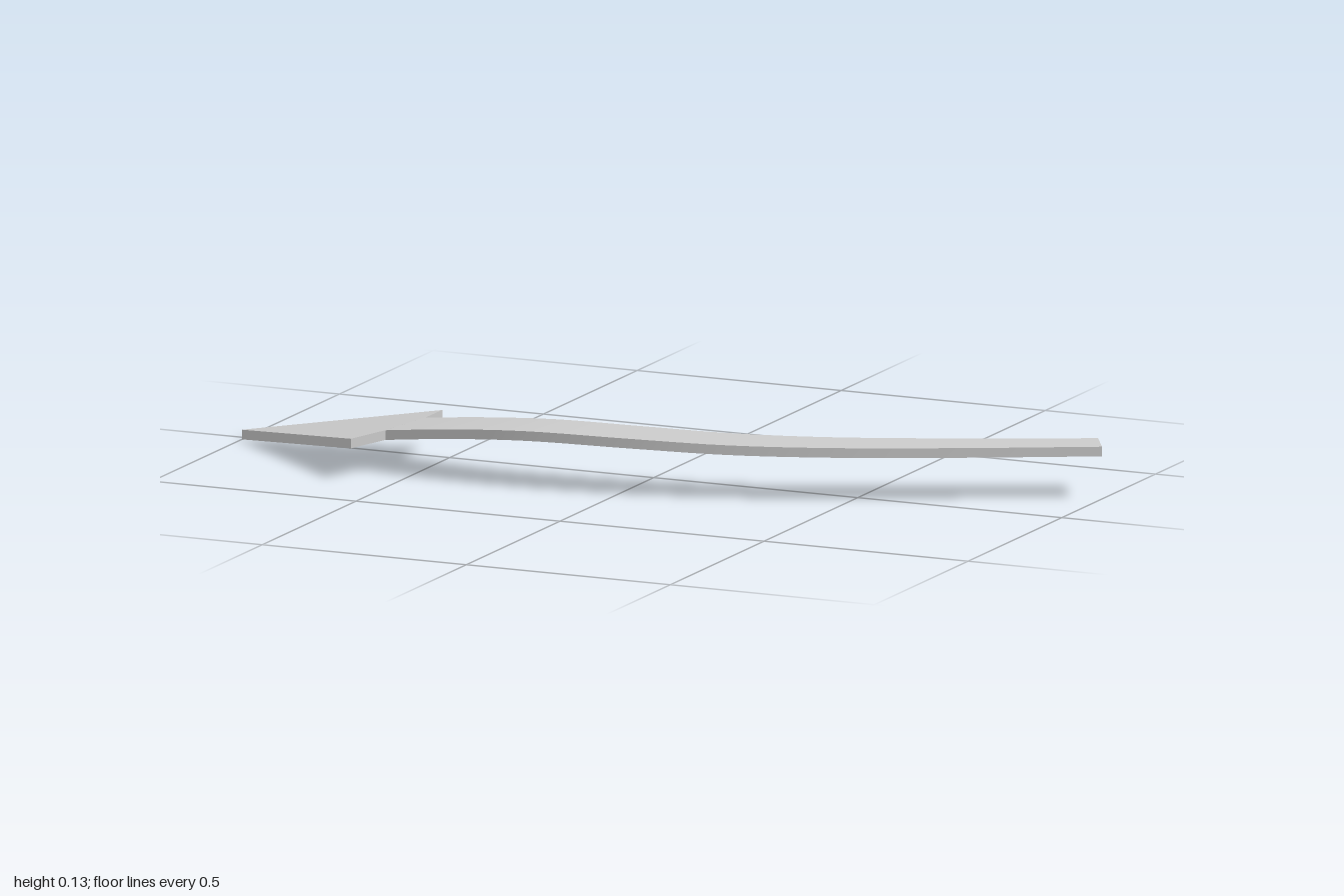
import * as THREE from 'three';

const THICKNESS = 0.022;

// Stations along the shaft: back edge x, z, front edge x, z, underside height
const STATIONS = [
  [-0.545, 0.033, -0.57, 0.19, 0.0717],
  [-0.39, 0.06, -0.41, 0.208, 0.092],
  [-0.21, 0.07, -0.22, 0.212, 0.106],
  [0, 0.055, 0.03, 0.187, 0.106],
  [0.2, 0.018, 0.24, 0.138, 0.101],
  [0.4, -0.04, 0.45, 0.063, 0.099],
  [0.66, -0.149, 0.71, -0.06, 0.098],
  [0.955, -0.292, 1, -0.215, 0.097],
];

// Tip, front barb, front notch, back notch, back barb as x, z
const HEAD = [[-1, 0.02], [-0.61, 0.288], [-0.57, 0.19], [-0.545, 0.033], [-0.55, -0.07]];

// A segmented box bent so that its long edges follow the two edge curves
function shaftGeometry() {
  const back = new THREE.CatmullRomCurve3(STATIONS.map(s => new THREE.Vector3(s[0], s[4], s[1])));
  const front = new THREE.CatmullRomCurve3(STATIONS.map(s => new THREE.Vector3(s[2], s[4], s[3])));
  const geometry = new THREE.BoxGeometry(1, 1, 1, 35, 1, 1);
  const pos = geometry.attributes.position;
  for (let i = 0; i < pos.count; i++) {
    const edge = pos.getZ(i) < 0 ? back : front;
    const p = edge.getPoint(THREE.MathUtils.clamp(pos.getX(i) + 0.5, 0, 1));
    pos.setXYZ(i, p.x, p.y + (pos.getY(i) > 0 ? THICKNESS : 0), p.z);
  }
  geometry.computeVertexNormals();
  return geometry;
}

// A flat barbed plate that slopes down towards its tip
function headGeometry() {
  const shape = new THREE.Shape(HEAD.map(([x, z]) => new THREE.Vector2(x, -z)));
  const geometry = new THREE.ExtrudeGeometry(shape, { depth: THICKNESS, bevelEnabled: false });
  geometry.rotateX(-Math.PI / 2);
  const pos = geometry.attributes.position;
  for (let i = 0; i < pos.count; i++) {
    const along = (pos.getX(i) + 1) * 0.986 + (pos.getZ(i) - 0.02) * 0.164;
    pos.setY(i, pos.getY(i) + along * 0.159);
  }
  geometry.computeVertexNormals();
  return geometry;
}

export function createModel() {
  const group = new THREE.Group();
  group.name = 'curvedArrow';
  const material = new THREE.MeshStandardMaterial({ color: 0xcccccc });
  const add = (name, geometry) => {
    const mesh = new THREE.Mesh(geometry, material);
    mesh.name = name;
    group.add(mesh);
  };
  add('arrowShaft', shaftGeometry());
  add('arrowHead', headGeometry());
  return group;
}
